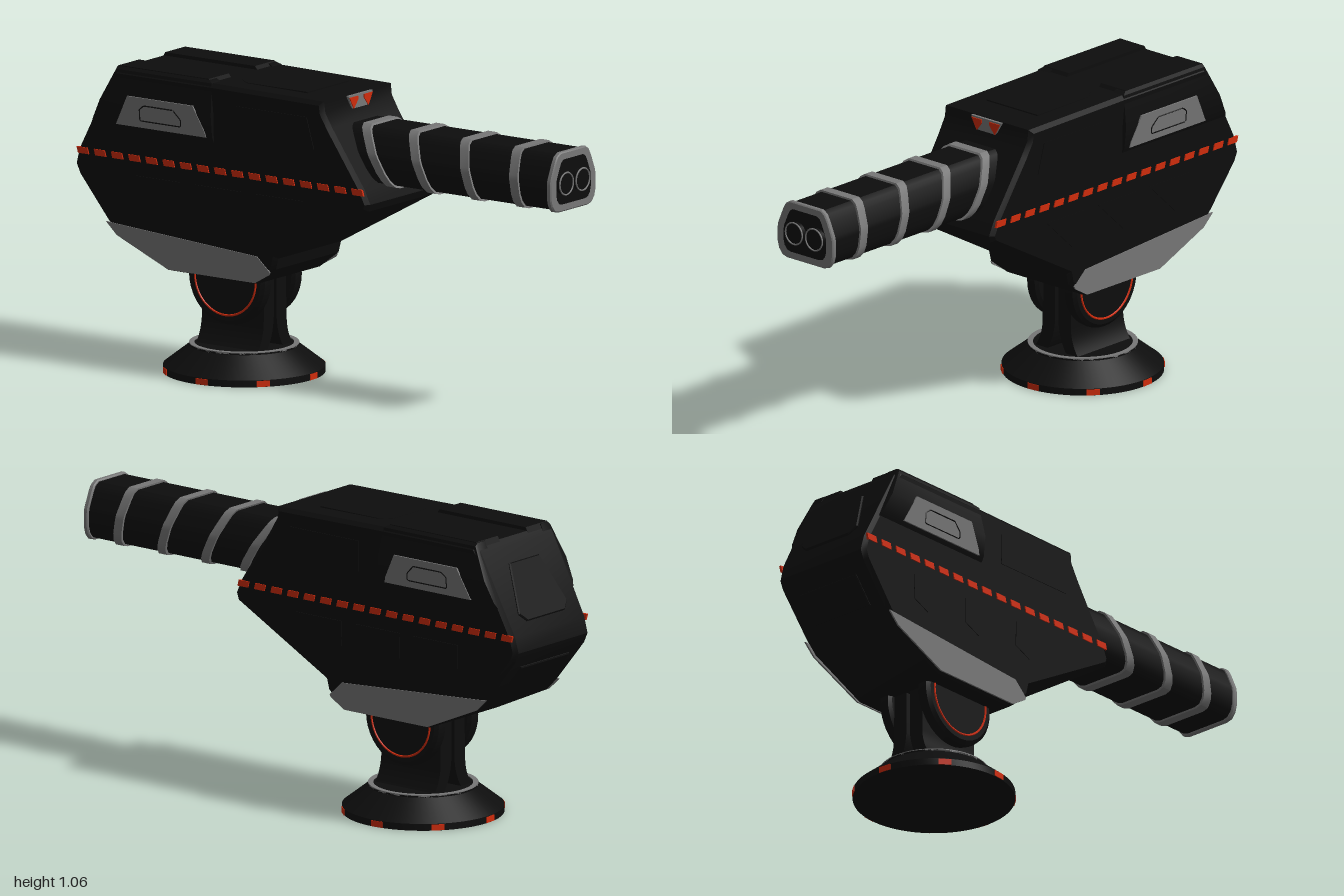
import * as THREE from 'three';
import { toCreasedNormals } from 'three/addons/utils/BufferGeometryUtils.js';
import { ConvexGeometry } from 'three/addons/geometries/ConvexGeometry.js';

const black = new THREE.MeshStandardMaterial({ color: 0x0d0d0d });
const grey = new THREE.MeshStandardMaterial({ color: 0x777777 });
const red = new THREE.MeshStandardMaterial({ color: 0xd02c0c });
const CZ = -0.42; // pedestal axis

const shapeOf = (pts) => new THREE.Shape(pts.map(([a, b]) => new THREE.Vector2(a, b)));

// Centred extrusion along z; bevel stays inside the outline
function slab(shape, depth, bevel = 0, segs = 1) {
  const g = new THREE.ExtrudeGeometry(shape, {
    depth: depth - 2 * bevel, bevelEnabled: bevel > 0, bevelSize: bevel,
    bevelThickness: bevel, bevelOffset: -bevel, bevelSegments: segs, curveSegments: 12,
  });
  return g.translate(0, 0, bevel - depth / 2);
}
// Profile of [z, y] points extruded across x
const sideSlab = (pts, depth, bevel) => slab(shapeOf(pts), depth, bevel).rotateY(-Math.PI / 2);

function moveVertices(g, rule) {
  const p = g.attributes.position, v = new THREE.Vector3();
  for (let i = 0; i < p.count; i++) {
    rule(v.fromBufferAttribute(p, i));
    p.setXYZ(i, v.x, v.y, v.z);
  }
  g.computeVertexNormals();
  return g;
}

export function createModel() {
  const model = new THREE.Group();
  const add = (name, g, mat, parent = model) => {
    const m = new THREE.Mesh(toCreasedNormals(g, 0.5), mat);
    m.name = name;
    parent.add(m);
    return m;
  };
  const group = (name) => {
    const g = new THREE.Group();
    g.name = name;
    model.add(g);
    return g;
  };

  // Main housing, slightly wider towards the top
  const half = (y) => 0.193 + 0.02 * (y - 0.36);
  const profile = [
    [0.065, 1.04], [0.07, 1.0], [0.1, 0.95], [0.235, 0.75], [0.258, 0.7], [0.25, 0.675],
    [-0.14, 0.46], [-0.15, 0.42], [-0.23, 0.36], [-0.6, 0.36], [-0.82, 0.46], [-0.865, 0.505],
    [-0.985, 0.655], [-1.0, 0.69], [-0.985, 0.745], [-0.84, 1.02], [-0.82, 1.045], [-0.4, 1.045],
  ];
  add('housing', moveVertices(sideSlab(profile, 2, 0.014), (v) => {
    const inset = 1 - Math.abs(v.x);
    v.x = Math.sign(v.x) * (half(v.y) - inset);
  }), black);

  // Thin plate lying on a leaning side wall: x = x0 + lean * (y - y0)
  function sidePlate(name, pts, mat, parent, thick = 0.006, x0 = half(0.36), lean = 0.02, y0 = 0.36) {
    for (const s of [1, -1]) {
      add(name, moveVertices(sideSlab(pts, thick), (v) => { v.x += s * (x0 + lean * (v.y - y0)); }), mat, parent);
    }
  }

  // Grey lower skirt and dark side plates
  const trim = group('sideTrim');
  sidePlate('lowerSkirt', [[-0.165, 0.41], [-0.22, 0.46], [-0.865, 0.503], [-0.82, 0.46], [-0.6, 0.365], [-0.23, 0.365], [-0.17, 0.4]], grey, trim);
  for (const z of [-0.02, -0.28, -0.54]) {
    sidePlate('sidePlate', [[z, 0.68], [z - 0.2, 0.68], [z - 0.2, 0.59], [z - 0.13, 0.56]], black, trim, 0.005);
  }
  sidePlate('cheekPlate', [[0, 0.98], [-0.3, 0.98], [-0.3, 0.87], [0.03, 0.87]], black, trim, 0.005);

  // Dashed red stripe
  const stripe = group('stripe');
  for (let i = 0; i < 17; i++) {
    const z = 0.235 - i * 0.0735;
    sidePlate('stripeDash', [[z, 0.752], [z - 0.046, 0.752], [z - 0.04, 0.73], [z + 0.006, 0.73]], red, stripe, 0.008);
  }

  // Rear hood: flared shoulders, windows and roof rails
  const hood = group('rearHood');
  for (const s of [1, -1]) {
    const pts = [];
    for (const [x, y] of [[0.203, 0.84], [0.213, 0.86], [0.221, 0.935], [0.201, 1.045], [0.19, 1.055]]) {
      const back = Math.max(-0.82, -0.83) - (1.045 - Math.min(y, 1.045)) * 0.5;
      for (const z of [-0.4 - Math.max(0, y - 1.04) * 2, back]) {
        pts.push(new THREE.Vector3(s * x, y, z), new THREE.Vector3(s * 0.15, y, z));
      }
    }
    add('shoulder', new ConvexGeometry(pts), black, hood);
    add('roofRail', sideSlab([[-0.41, 1.03], [-0.43, 1.057], [-0.815, 1.057], [-0.83, 1.03]], 0.115).translate(s * 0.133, 0, 0), black, hood);
  }
  sidePlate('window', [[-0.475, 0.962], [-0.755, 0.962], [-0.81, 0.855], [-0.425, 0.855], [-0.43, 0.875]], grey, hood, 0.006, 0.213, 0.1, 0.86);
  // Raised outline inside each window
  const outline = [[-0.56, 0.935], [-0.685, 0.935], [-0.705, 0.92], [-0.705, 0.88], [-0.53, 0.88], [-0.53, 0.905]];
  for (const s of [1, -1]) {
    const path = new THREE.CurvePath();
    const v = outline.map(([z, y]) => new THREE.Vector3(s * (0.216 + 0.1 * (y - 0.86)), y, z));
    v.forEach((p, i) => path.add(new THREE.LineCurve3(p, v[(i + 1) % v.length])));
    add('windowOutline', new THREE.TubeGeometry(path, 60, 0.0025, 4, true), black, hood);
  }

  // Front roof lid
  add('roofLid', slab(shapeOf([[-0.12, 0], [-0.12, 0.26], [-0.09, 0.3], [0.09, 0.3], [0.12, 0.26], [0.12, 0]]), 0.008)
    .rotateX(-Math.PI / 2).translate(0, 1.042, -0.06), black);

  // Rear hatch plates on the sloping back
  const hatch = add('rearHatch', slab(shapeOf([[-0.13, -0.08], [-0.08, 0.1], [0.08, 0.1], [0.13, -0.08], [0.1, -0.11], [-0.1, -0.11]]), 0.014, 0.004), black);
  hatch.position.set(0, 0.88, -0.914);
  hatch.rotation.set(0.49, Math.PI, 0, 'XYZ');
  const lower = add('rearLowerPlate', slab(shapeOf([[-0.13, -0.06], [-0.13, 0.06], [0.13, 0.06], [0.13, -0.06]]), 0.012, 0.004), black);
  lower.position.set(0, 0.58, -0.925);
  lower.rotation.set(-0.67, Math.PI, 0, 'XYZ');

  // Sensor on the front top edge
  const sensor = group('sensor');
  add('sensorPlate', slab(shapeOf([[-0.066, 1.038], [0.074, 1.038], [0.045, 0.985], [-0.04, 0.985]]), 0.035).translate(0, 0, 0.058), grey, sensor);
  for (const s of [1, -1]) {
    add('sensorLight', slab(shapeOf([[s * 0.066, 1.032], [s * 0.018, 1.032], [s * 0.018, 1.02], [s * 0.042, 0.99]]), 0.006).translate(0.004, 0, 0.076), red, sensor);
  }

  // Barrel: six-sided rounded section
  const barrel = group('barrel');
  const rightHalf = [[0.073, 0.957], [0.092, 0.945], [0.105, 0.922], [0.128, 0.868], [0.131, 0.85], [0.131, 0.8], [0.124, 0.774], [0.108, 0.754], [0.085, 0.748]];
  const section = (k) => [...rightHalf, ...rightHalf.map(([x, y]) => [-x, y]).reverse()]
    .map(([x, y]) => [x * k, 0.853 + (y - 0.853) * k]);
  const ring = (inner) => {
    const s = shapeOf(section(1));
    s.holes.push(shapeOf(section(inner)));
    return s;
  };
  add('barrelTube', slab(shapeOf(section(0.94)), 0.99).translate(0, 0, 0.48), black, barrel);
  add('tipRing', slab(ring(0.79), 0.02, 0.004).translate(0, 0, 0.981), grey, barrel);
  // Slanted bands, steeper towards the housing
  for (const [z, lean] of [[0.83, 0.16], [0.622, 0.32], [0.415, 0.47], [0.228, 0.62]]) {
    add('barrelBand', moveVertices(slab(ring(0.9), 0.036), (v) => { v.z += z - lean * (v.y - 0.853); }), grey, barrel);
  }
  // Twin muzzles
  for (const s of [1, -1]) {
    add('muzzleCore', new THREE.CylinderGeometry(0.037, 0.037, 0.03, 16).rotateX(Math.PI / 2).translate(s * 0.047, 0.845, 0.98), black, barrel);
    add('muzzleRim', new THREE.TorusGeometry(0.039, 0.003, 6, 24).translate(s * 0.047, 0.845, 0.996), grey, barrel);
  }

  // Pivot: rounded side discs with red arcs, and struts that sweep out to the base
  const pivot = group('pivot');
  const strut = new THREE.Shape();
  strut.moveTo(0.008, 0.4);
  strut.lineTo(0.008, 0.21);
  strut.quadraticCurveTo(0.012, 0.14, 0.05, 0.09);
  strut.lineTo(0.105, 0.09);
  strut.quadraticCurveTo(0.066, 0.14, 0.066, 0.2);
  strut.lineTo(0.066, 0.4);
  for (const s of [1, -1]) {
    const disc = new THREE.LatheGeometry([[0, -0.028], [0.15, -0.028], [0.163, -0.02], [0.166, 0], [0.163, 0.015], [0.15, 0.025], [0, 0.025]]
      .map(([r, y]) => new THREE.Vector2(r, y)), 40);
    add('pivotDisc', disc.rotateZ(-s * Math.PI / 2).translate(s * 0.091, 0.345, -0.415), black, pivot);
    add('pivotArc', new THREE.TorusGeometry(0.13, 0.004, 6, 48).rotateY(Math.PI / 2).translate(s * 0.116, 0.345, -0.415), red, pivot);
    add('strut', slab(strut, 0.265).rotateY(s > 0 ? 0 : Math.PI).translate(0, 0, CZ), black, pivot);
  }

  // Round base with grey rim and eight lights
  const base = group('base');
  add('basePlate', new THREE.LatheGeometry([[0, 0], [0.28, 0], [0.28, 0.024], [0.19, 0.094], [0.19, 0.1], [0, 0.1]]
    .map(([r, y]) => new THREE.Vector2(r, y)), 64).translate(0, 0, CZ), black, base);
  add('baseRim', new THREE.LatheGeometry([[0.172, 0.098], [0.19, 0.094], [0.19, 0.103], [0.172, 0.103], [0.172, 0.098]]
    .map(([r, y]) => new THREE.Vector2(r, y)), 64).translate(0, 0, CZ), grey, base);
  for (let i = 0; i < 8; i++) {
    const a = THREE.MathUtils.degToRad(5 + 45 * i);
    add('baseLight', new THREE.BoxGeometry(0.046, 0.021, 0.012).translate(0, 0.0115, 0.276).rotateY(a).translate(0, 0, CZ), red, base);
  }

  return model;
}
